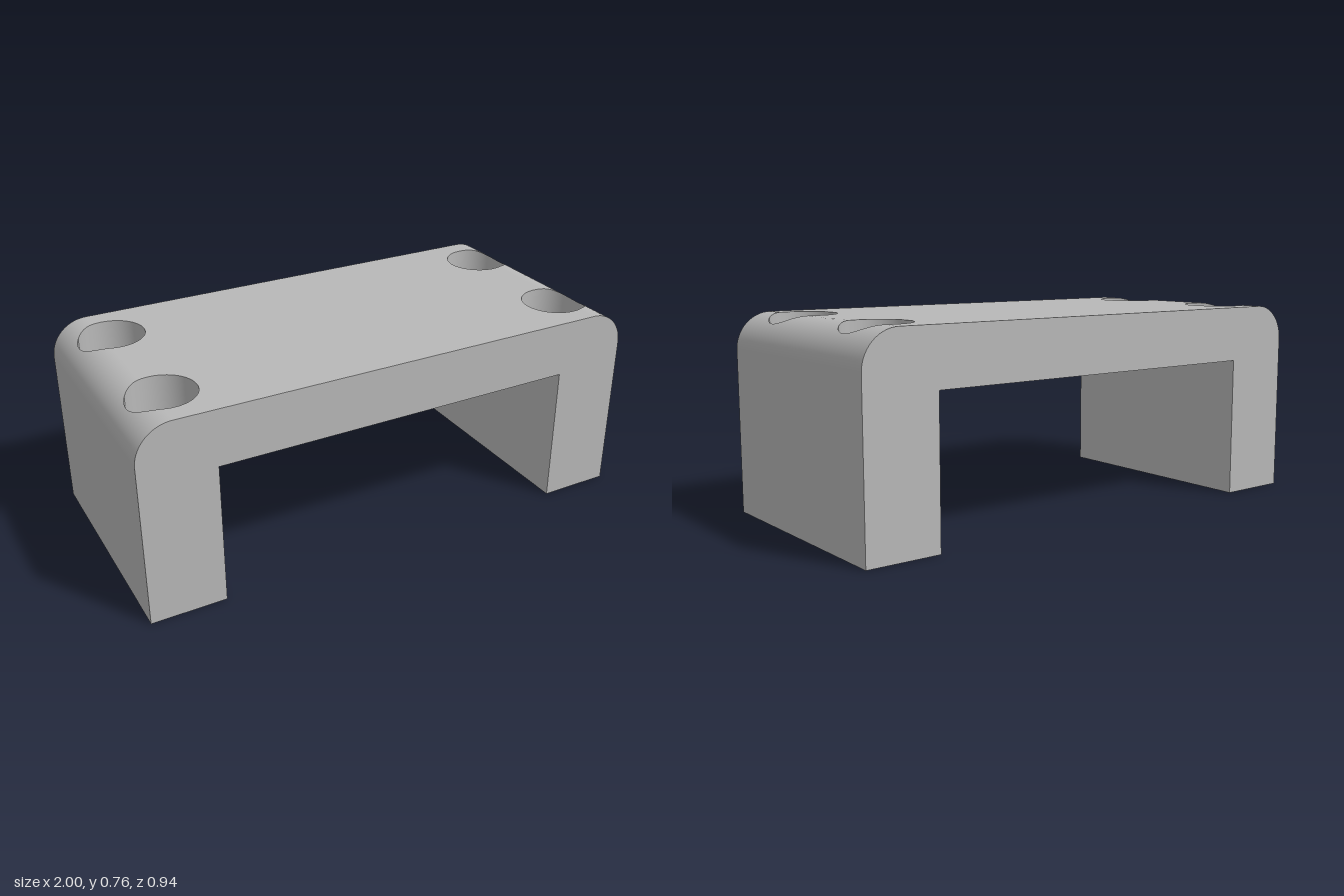
import * as THREE from 'three';

const H = 0.765, D = 0.47, R = 0.14;         // height, half depth, corner radius
const INNER = 0.715, UNDER = 0.55;           // inner leg wall, underside of the bridge
const HX = 0.824, HZ = 0.265;                // hole centres
const BORE = 0.125, HOLE = 0.065, FLOOR = 0.605;
const FLAT = 1 - R, S0 = 0.57, S1 = FLAT + R * Math.PI / 2; // s runs along the top, then round the corner

const steel = new THREE.MeshStandardMaterial({ color: 0xb8b8b8, side: THREE.DoubleSide });
steel.name = 'grey metal';

const bend = s => Math.max(0, (s - FLAT) / R);
const unroll = x => (x <= FLAT ? x : FLAT + R * Math.asin((x - FLAT) / R));
const topY = x => (x <= FLAT ? H : H - R + Math.sqrt(R * R - (x - FLAT) ** 2));

// Closed strip of rings; point(i, j) gives [position, normal]
function rings(n, m, point, flip) {
  const pos = [], nor = [], idx = [];
  for (let j = 0; j <= m; j++) {
    for (let i = 0; i < n; i++) {
      const [p, q] = point(i, j);
      pos.push(...p);
      nor.push(...q);
      if (j === m) continue;
      const a = j * n + i, b = j * n + (i + 1) % n, c = a + n, d = b + n;
      idx.push(...(flip ? [a, b, c, b, d, c] : [a, c, b, b, c, d]));
    }
  }
  const g = new THREE.BufferGeometry();
  g.setAttribute('position', new THREE.Float32BufferAttribute(pos, 3));
  g.setAttribute('normal', new THREE.Float32BufferAttribute(nor, 3));
  g.setIndex(idx);
  return g;
}

// Outline of the top area round one hole, in (s, z)
function cellOutline(n = 32) {
  const corners = [[S0, 0], [S1, 0], [S1, D], [S0, D]], out = [];
  corners.forEach(([s, z], k) => {
    const [s2, z2] = corners[(k + 1) % 4];
    for (let i = 0; i < n; i++) out.push([s + (s2 - s) * i / n, z + (z2 - z) * i / n]);
  });
  return out;
}

export function createModel() {
  const model = new THREE.Group();
  model.name = 'mountingBridge';
  const add = (name, geo, x = 0, y = 0, z = 0) => {
    const mesh = new THREE.Mesh(geo, steel);
    mesh.name = name;
    mesh.position.set(x, y, z);
    model.add(mesh);
  };

  // Front and back faces
  const profile = new THREE.Shape();
  profile.moveTo(-1, 0).lineTo(-INNER, 0).lineTo(-INNER, UNDER).lineTo(INNER, UNDER).lineTo(INNER, 0).lineTo(1, 0);
  profile.absarc(FLAT, H - R, R, 0, Math.PI / 2, false);
  profile.absarc(-FLAT, H - R, R, Math.PI / 2, Math.PI, false);
  add('frontFace', new THREE.ShapeGeometry(profile, 24), 0, 0, D);
  add('backFace', new THREE.ShapeGeometry(profile, 24).rotateY(Math.PI), 0, 0, -D);

  // Middle of the top, and the underside
  add('topMiddle', new THREE.PlaneGeometry(2 * S0, 2 * D).rotateX(-Math.PI / 2), 0, H, 0);
  add('bridgeUnderside', new THREE.PlaneGeometry(2 * INNER, 2 * D).rotateX(Math.PI / 2), 0, UNDER, 0);

  const outline = cellOutline();
  const angles = outline.map(([s, z]) => Math.atan2(z - HZ, s - HX));
  const n = outline.length;

  for (const sx of [-1, 1]) {
    // Leg walls
    const outerH = H - R;
    add('outerWall', new THREE.PlaneGeometry(2 * D, outerH).rotateY(sx * Math.PI / 2), sx, outerH / 2, 0);
    add('innerWall', new THREE.PlaneGeometry(2 * D, UNDER).rotateY(-sx * Math.PI / 2), sx * INNER, UNDER / 2, 0);

    // Foot with two screw holes
    const w = (1 - INNER) / 2, cx = 1 - w;
    const foot = new THREE.Shape();
    foot.moveTo(-w, -D).lineTo(w, -D).lineTo(w, D).lineTo(-w, D).closePath();
    for (const sz of [-1, 1]) {
      foot.holes.push(new THREE.Path().absarc(sx * (HX - cx), sz * HZ, HOLE, 0, Math.PI * 2, true));
    }
    add('foot', new THREE.ShapeGeometry(foot, 24).rotateX(Math.PI / 2), sx * cx, 0, 0);

    for (const sz of [-1, 1]) {
      const flip = sx * sz < 0;
      // Top surface round the hole, rolling over the corner
      add('topCorner', rings(n, 16, (i, j) => {
        const t = j / 16, a = angles[i];
        const s = unroll(HX + BORE * Math.cos(a)) * (1 - t) + outline[i][0] * t;
        const z = (HZ + BORE * Math.sin(a)) * (1 - t) + outline[i][1] * t;
        const b = bend(s);
        const x = b > 0 ? FLAT + R * Math.sin(b) : s;
        const y = H - R + R * Math.cos(b);
        return [[sx * x, y, sz * z], [sx * Math.sin(b), Math.cos(b), 0]];
      }, !flip), 0, 0, 0);

      // Counterbore wall, cut off by the curved top
      add('counterboreWall', rings(n, 1, (i, j) => {
        const c = Math.cos(angles[i]), q = Math.sin(angles[i]), x = HX + BORE * c;
        return [[sx * x, j ? topY(x) : FLOOR, sz * (HZ + BORE * q)], [-sx * c, 0, -sz * q]];
      }, flip));

      // Counterbore floor and through hole
      add('counterboreFloor', new THREE.RingGeometry(HOLE, BORE, 64).rotateX(-Math.PI / 2), sx * HX, FLOOR, sz * HZ);
      add('screwHole', new THREE.CylinderGeometry(HOLE, HOLE, FLOOR, 48, 1, true), sx * HX, FLOOR / 2, sz * HZ);
    }
  }
  return model;
}
